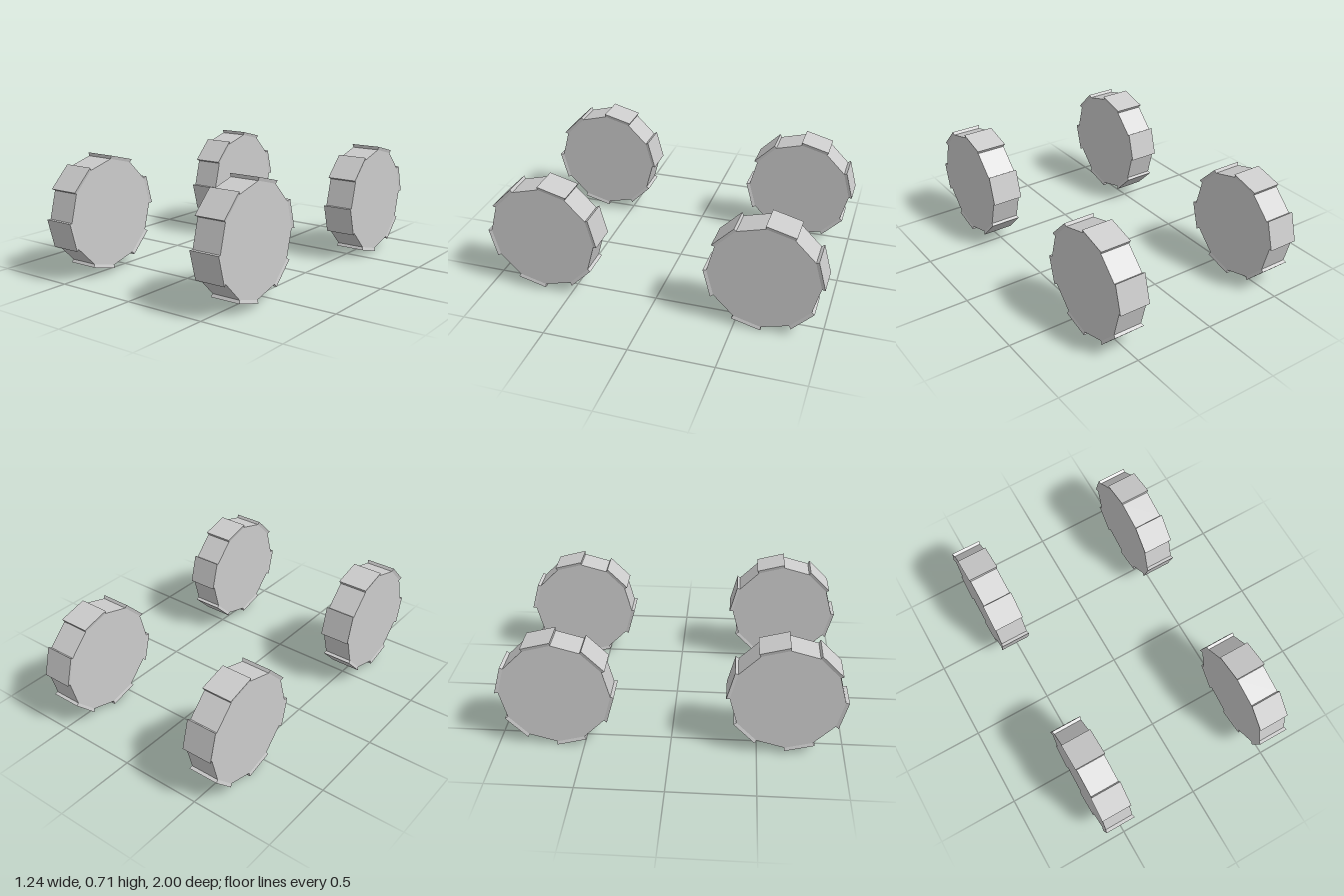
import * as THREE from 'three';

const SIDES = 12;
const RADIUS = 0.322;      // corner radius of the wheel body
const HALF_WIDTH = 0.088;  // half the width of the wheel body
const RAISE = 1.062;       // how far each tread block flares outwards

const material = new THREE.MeshStandardMaterial({ color: 0xcccccc, flatShading: true });

// Tread block: a box flared so its inner face covers one side of the body
function treadGeometry() {
  const geometry = new THREE.BoxGeometry(1, 1, 1);
  const p = geometry.attributes.position;
  const half = Math.PI / SIDES;
  for (let i = 0; i < p.count; i++) {
    const s = p.getY(i) > 0 ? RAISE : 1;
    p.setXYZ(
      i,
      Math.sign(p.getX(i)) * HALF_WIDTH * s,
      RADIUS * Math.cos(half) * s,
      Math.sign(p.getZ(i)) * RADIUS * Math.sin(half) * s
    );
  }
  geometry.computeVertexNormals();
  return geometry;
}

// Twelve-sided wheel with a tread block on every other side
function makeWheel(name, bodyGeometry, blockGeometry) {
  const wheel = new THREE.Group();
  wheel.name = name;
  const body = new THREE.Mesh(bodyGeometry, material);
  body.name = 'wheelBody';
  wheel.add(body);
  for (let k = 0; k < SIDES / 2; k++) {
    const block = new THREE.Mesh(blockGeometry, material);
    block.name = 'treadBlock';
    block.rotation.x = -Math.PI / SIDES + (k * 4 * Math.PI) / SIDES;
    wheel.add(block);
  }
  return wheel;
}

export function createModel() {
  const model = new THREE.Group();
  model.name = 'wheelSet';
  const bodyGeometry = new THREE.CylinderGeometry(RADIUS, RADIUS, HALF_WIDTH * 2, SIDES);
  bodyGeometry.rotateZ(Math.PI / 2);
  const blockGeometry = treadGeometry();

  // The front pair sits slightly higher than the back pair
  const axles = [
    { name: 'front', y: 0.364, z: 0.658 },
    { name: 'back', y: 0.342, z: -0.658 },
  ];
  for (const axle of axles) {
    for (const side of [1, -1]) {
      const name = axle.name + (side > 0 ? 'Left' : 'Right') + 'Wheel';
      const wheel = makeWheel(name, bodyGeometry, blockGeometry);
      wheel.position.set(side * 0.525, axle.y, axle.z);
      model.add(wheel);
    }
  }
  return model;
}
